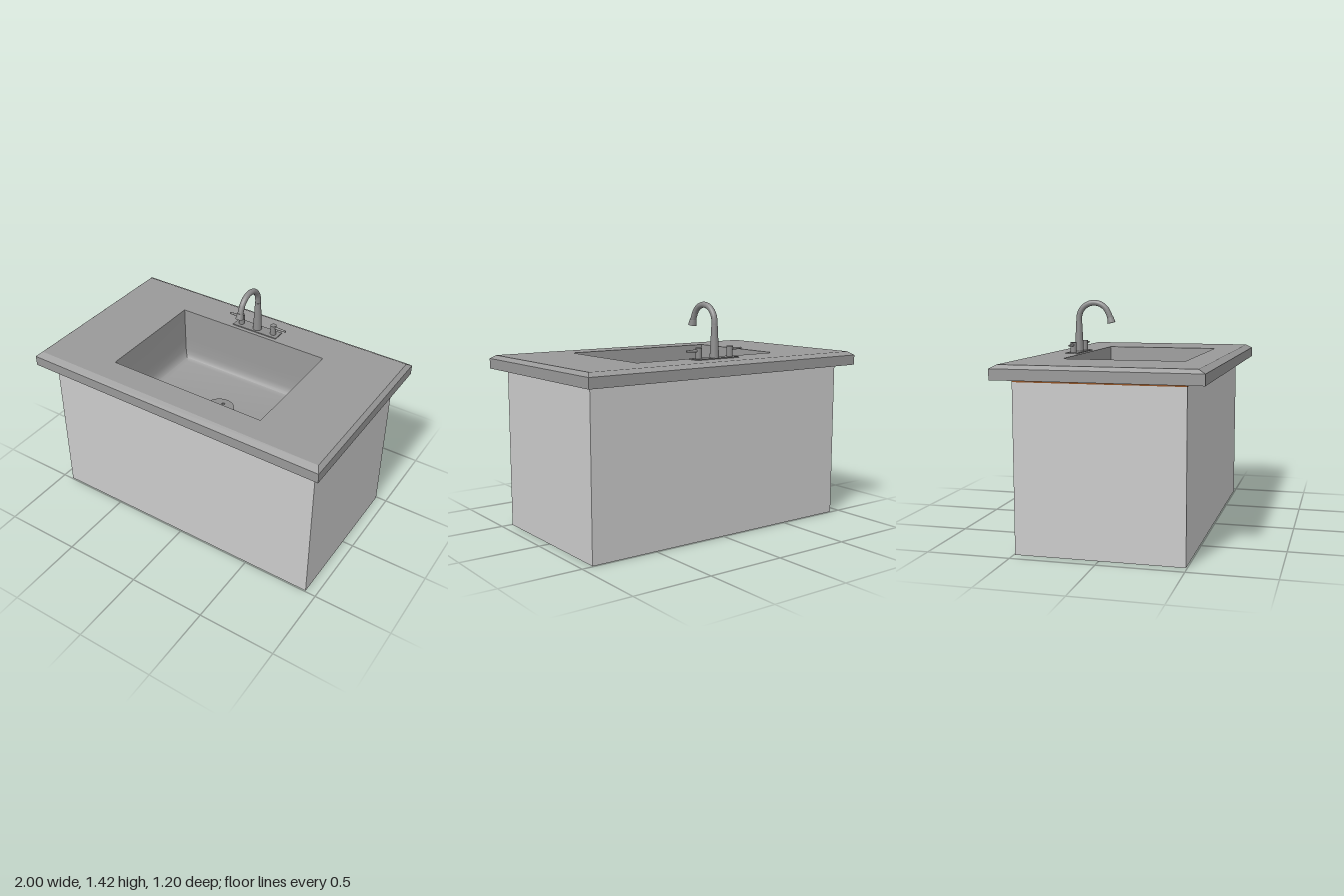
import * as THREE from 'three';
import { toCreasedNormals } from 'three/addons/utils/BufferGeometryUtils.js';

const paint = (color) => new THREE.MeshStandardMaterial({ color, side: THREE.DoubleSide });
const cabinetMat = paint(0xcccccc);
const stoneMat = paint(0x999999);
const metalMat = paint(0x8c8c8c);
const trimMat = paint(0x8a4a12);

function add(parent, name, geometry, material, x = 0, y = 0, z = 0) {
  const mesh = new THREE.Mesh(geometry, material);
  mesh.name = name;
  mesh.position.set(x, y, z);
  parent.add(mesh);
  return mesh;
}

// Skin through rectangular rings [x0, x1, z0, z1, y]; the last may be capped
function rectLoft(rings, cap, crease) {
  const loops = rings.map(([x0, x1, z0, z1, y]) =>
    [[x0, y, z1], [x1, y, z1], [x1, y, z0], [x0, y, z0]]);
  const pos = [];
  const quad = (a, b, c, d) => pos.push(...a, ...b, ...c, ...a, ...c, ...d);
  for (let r = 0; r + 1 < loops.length; r++) {
    for (let i = 0; i < 4; i++) {
      const j = (i + 1) % 4;
      quad(loops[r][i], loops[r][j], loops[r + 1][j], loops[r + 1][i]);
    }
  }
  if (cap) quad(...loops[loops.length - 1]);
  const geo = new THREE.BufferGeometry();
  geo.setAttribute('position', new THREE.Float32BufferAttribute(pos, 3));
  geo.computeVertexNormals();
  return toCreasedNormals(geo, crease);
}

// Hollow rectangular wall standing on y = 0
function rectWall(hx, hz, thickness, height) {
  const corners = (x, z) => [[-x, -z], [x, -z], [x, z], [-x, z]].map((p) => new THREE.Vector2(...p));
  const shape = new THREE.Shape(corners(hx, hz));
  shape.holes.push(new THREE.Path(corners(hx - thickness, hz - thickness).reverse()));
  return new THREE.ExtrudeGeometry(shape, { depth: height, bevelEnabled: false }).rotateX(-Math.PI / 2);
}

export function createModel() {
  const model = new THREE.Group();
  model.name = 'sinkVanity';

  // Cabinet, open at the top under the counter
  add(model, 'cabinetWalls', rectWall(0.93, 0.493, 0.02, 0.985), cabinetMat);
  add(model, 'cabinetFloor', new THREE.BoxGeometry(1.83, 0.02, 0.96), cabinetMat, 0, 0.01, 0);
  add(model, 'trimBand', rectWall(0.93, 0.493, 0.02, 0.015), trimMat, 0, 0.985, 0);

  // Countertop with a chamfered upper edge and a cut-out for the basin
  const bx0 = -0.525, bx1 = 0.52, bz0 = -0.335, bz1 = 0.402, top = 1.085;
  add(model, 'countertop', rectLoft([
    [-0.88, 0.88, -0.45, 0.45, 1],
    [-1, 1, -0.6, 0.6, 1],
    [-1, 1, -0.6, 0.6, 1.063],
    [-0.975, 0.975, -0.56, 0.56, top],
    [bx0, bx1, bz0, bz1, top],
  ], false, 0.1), stoneMat);

  // Basin: [inset, depth] profile, steep walls easing into the floor
  const profile = [[0, 0], [0.008, 0.22], [0.012, 0.3], [0.02, 0.33], [0.035, 0.35], [0.06, 0.36]];
  add(model, 'basin', rectLoft(profile.map(([i, d]) =>
    [bx0 + i, bx1 - i, bz0 + i, bz1 - i, top - d]), true, 0.9), stoneMat);

  // Drain plate with five holes
  const drain = new THREE.Shape().absarc(0, 0, 0.094, 0, Math.PI * 2);
  for (const [x, y] of [[0, 0], [0.046, 0], [-0.046, 0], [0, 0.046], [0, -0.046]]) {
    drain.holes.push(new THREE.Path().absarc(x, y, 0.01, 0, Math.PI * 2, true));
  }
  add(model, 'drain', new THREE.ExtrudeGeometry(drain, { depth: 0.006, bevelEnabled: false, curveSegments: 20 })
    .rotateX(-Math.PI / 2), metalMat, 0.005, top - 0.36, 0.046);

  // Faucet on its base plate
  const faucet = new THREE.Group();
  faucet.name = 'faucet';
  faucet.position.set(0.005, top, -0.4);
  model.add(faucet);
  add(faucet, 'basePlate', new THREE.BoxGeometry(0.32, 0.006, 0.08), metalMat, 0, 0.003, 0);
  add(faucet, 'spoutColumn', new THREE.CylinderGeometry(0.019, 0.029, 0.2, 24), metalMat, 0, 0.1, 0);

  // Gooseneck arch
  const path = [new THREE.Vector3(0, 0.19, 0)];
  for (let i = 0; i <= 8; i++) {
    const a = Math.PI * (1 - 0.9 * i / 8);
    path.push(new THREE.Vector3(0, 0.215 + 0.102 * Math.sin(a), 0.102 + 0.102 * Math.cos(a)));
  }
  path.push(new THREE.Vector3(0, 0.21, 0.213));
  add(faucet, 'gooseneck', new THREE.TubeGeometry(new THREE.CatmullRomCurve3(path), 48, 0.0182, 16), metalMat);
  const nozzle = add(faucet, 'nozzle', new THREE.CylinderGeometry(0.02, 0.026, 0.036, 20), metalMat, 0, 0.207, 0.213);
  nozzle.rotation.x = -0.24;

  // Mirrored handles, each a post with a flat tapering lever
  for (const side of [-1, 1]) {
    const handle = new THREE.Group();
    handle.name = side > 0 ? 'leftHandle' : 'rightHandle';
    handle.position.x = side * 0.119;
    faucet.add(handle);
    add(handle, 'handlePost', new THREE.CylinderGeometry(0.019, 0.019, 0.064, 20), metalMat, 0, 0.038, 0);
    const lever = new THREE.CylinderGeometry(0.006, 0.01, 0.09, 12);
    lever.rotateZ(-side * Math.PI / 2);
    add(handle, 'lever', lever, metalMat, side * 0.045, 0.053, 0);
  }
  return model;
}
